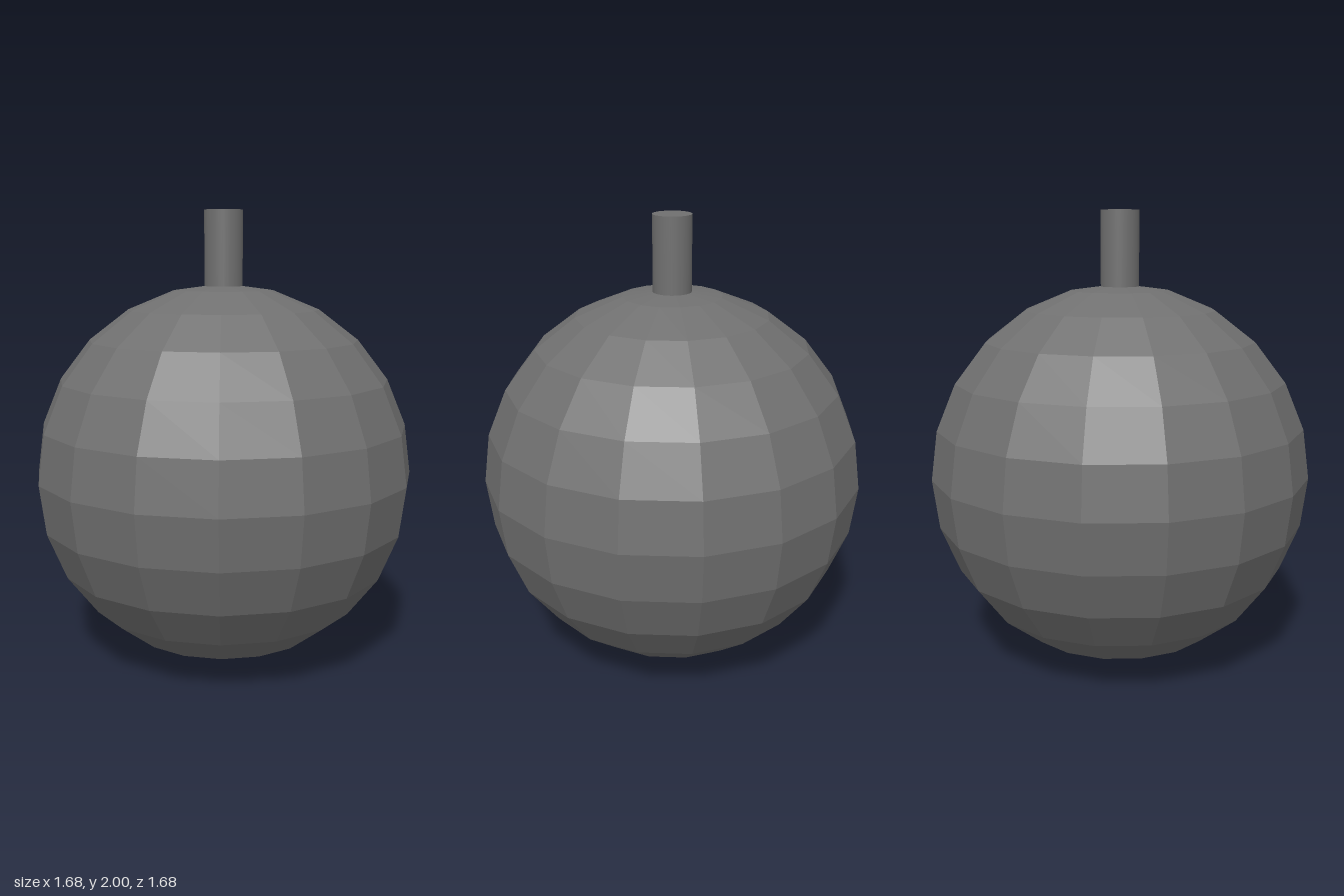
import * as THREE from 'three';

const RADIUS = 0.842;
const STEM_RADIUS = 0.084;
const STEM_TOP = 2;
const STEM_BOTTOM = 1.6;
const DARK_GREY = 0x707070;

export function createModel() {
  const model = new THREE.Group();
  model.name = 'ballWithStem';

  // Faceted ball resting on the ground
  const ball = new THREE.Mesh(
    new THREE.SphereGeometry(RADIUS, 16, 12),
    new THREE.MeshStandardMaterial({ color: DARK_GREY, flatShading: true })
  );
  ball.name = 'ball';
  ball.position.y = RADIUS;
  model.add(ball);

  // Smooth round stem, sunk slightly into the top of the ball
  const stem = new THREE.Mesh(
    new THREE.CylinderGeometry(STEM_RADIUS, STEM_RADIUS, STEM_TOP - STEM_BOTTOM, 32),
    new THREE.MeshStandardMaterial({ color: DARK_GREY })
  );
  stem.name = 'stem';
  stem.position.y = (STEM_TOP + STEM_BOTTOM) / 2;
  model.add(stem);

  return model;
}
